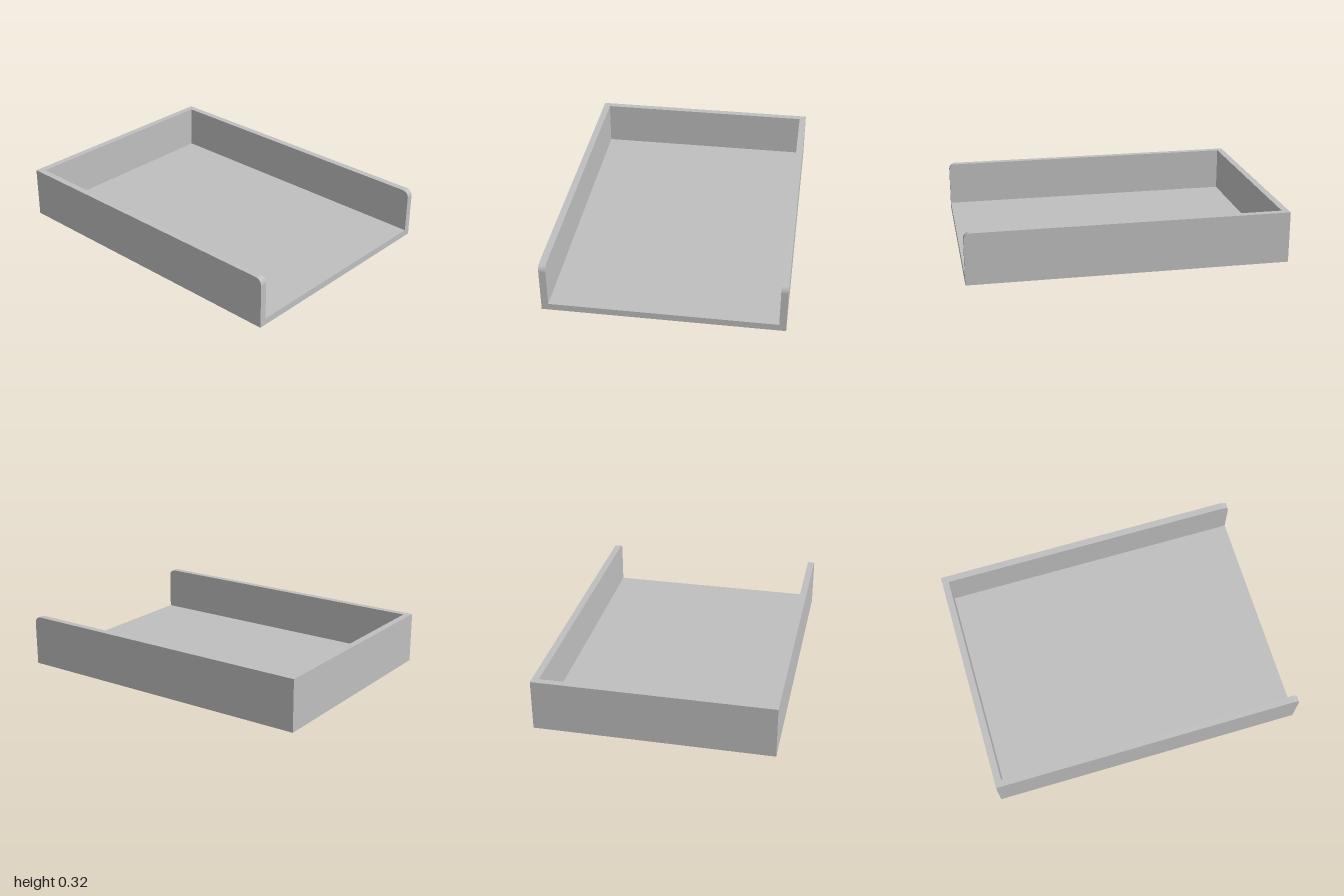
import * as THREE from 'three';
import { toCreasedNormals } from 'three/addons/utils/BufferGeometryUtils.js';

const WIDTH = 1.48, HEIGHT = 0.325, LENGTH = 2, WALL = 0.043, RADIUS = 0.043;

export function createModel() {
  const tray = new THREE.Group();
  tray.name = 'openTray';
  const grey = new THREE.MeshStandardMaterial({ color: 0xbfbfbf });
  grey.name = 'light grey';

  const add = (name, geometry, x, y, z) => {
    const mesh = new THREE.Mesh(geometry, grey);
    mesh.name = name;
    mesh.position.set(x, y, z);
    tray.add(mesh);
  };

  // Floor and back wall fit between the two side walls
  const inner = WIDTH - 2 * WALL;
  add('floor', new THREE.BoxGeometry(inner, WALL, LENGTH), 0, WALL / 2, 0);
  add('backWall', new THREE.BoxGeometry(inner, HEIGHT - WALL, WALL),
    0, (HEIGHT + WALL) / 2, -LENGTH / 2 + WALL / 2);

  // Side wall profile (z, y) with a rounded upper front corner
  const half = LENGTH / 2;
  const profile = new THREE.Shape();
  profile.moveTo(-half, 0);
  profile.lineTo(half, 0);
  profile.lineTo(half, HEIGHT - RADIUS);
  profile.absarc(half - RADIUS, HEIGHT - RADIUS, RADIUS, 0, Math.PI / 2, false);
  profile.lineTo(-half, HEIGHT);
  profile.closePath();

  // Extrude along x, centred on the wall thickness
  const wall = toCreasedNormals(
    new THREE.ExtrudeGeometry(profile, { depth: WALL, bevelEnabled: false, curveSegments: 16 })
      .translate(0, 0, -WALL / 2)
      .rotateY(-Math.PI / 2),
    Math.PI / 6);
  for (const [name, side] of [['leftWall', 1], ['rightWall', -1]]) {
    add(name, wall, side * (WIDTH - WALL) / 2, 0, 0);
  }
  return tray;
}
